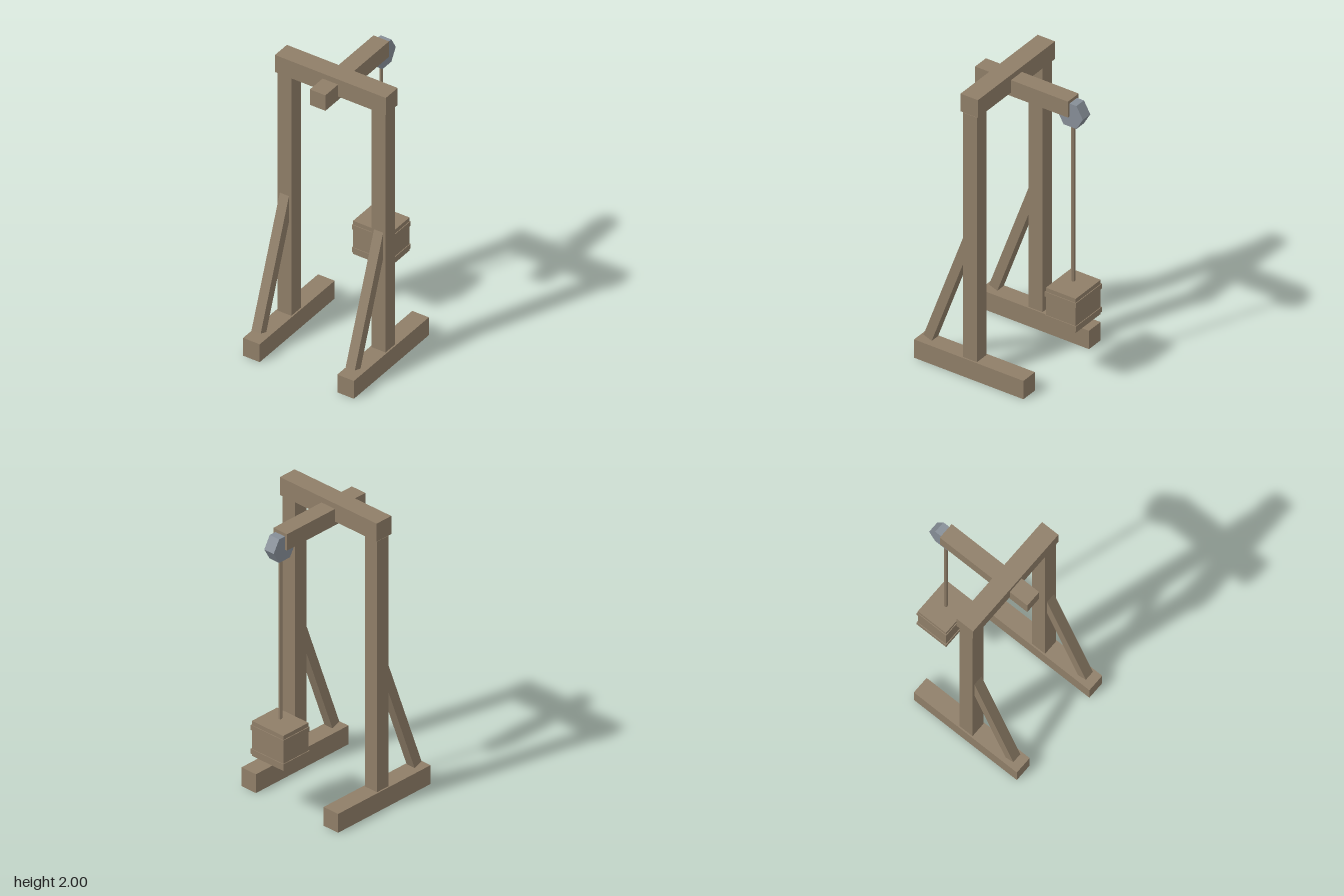
import * as THREE from 'three';

export function createModel() {
  const model = new THREE.Group();
  model.name = 'liftingCrane';
  const wood = new THREE.MeshStandardMaterial({ color: 0x8f7e68, flatShading: true });
  wood.name = 'wood';
  const iron = new THREE.MeshStandardMaterial({ color: 0x868e97, flatShading: true });
  iron.name = 'iron';

  const add = (name, geometry, material, x, y, z, parent = model) => {
    const mesh = new THREE.Mesh(geometry, material);
    mesh.name = name;
    mesh.position.set(x, y, z);
    parent.add(mesh);
    return mesh;
  };
  // Beam given by its lower and upper limits on each axis
  const beam = (name, [x0, x1], [y0, y1], [z0, z1], parent) =>
    add(name, new THREE.BoxGeometry(x1 - x0, y1 - y0, z1 - z0), wood,
      (x0 + x1) / 2, (y0 + y1) / 2, (z0 + z1) / 2, parent);

  // Side frames: foot, post and slanted brace
  for (const [side, s] of [['left', 1], ['right', -1]]) {
    const frame = new THREE.Group();
    frame.name = side + 'Frame';
    model.add(frame);
    const c = 0.34 * s;
    beam('foot', [c - 0.06, c + 0.06], [0, 0.13], [-0.3, 0.5], frame);
    beam('post', [c - 0.05, c + 0.05], [0.13, 1.865], [0.047, 0.148], frame);
    const length = 0.95, tilt = THREE.MathUtils.degToRad(20);
    const brace = add('brace', new THREE.BoxGeometry(0.066, length, 0.064), wood, c,
      0.157 + length / 2 * Math.cos(tilt), 0.42 - length / 2 * Math.sin(tilt), frame);
    brace.rotation.x = -tilt;
  }

  // Top beams
  beam('crossbeam', [-0.4, 0.4], [1.875, 2], [0.033, 0.16]);
  beam('arm', [-0.056, 0.056], [1.85, 1.963], [-0.383, 0.296]);

  // Six-sided pulley turning about x, with a corner pointing backwards
  const pulleyGeometry = new THREE.CylinderGeometry(0.094, 0.094, 0.078, 6).rotateZ(Math.PI / 2);
  add('pulley', pulleyGeometry, iron, 0, 1.86, -0.386);

  // Rope, ending just above the crate
  const ropeGeometry = new THREE.CylinderGeometry(0.0125, 0.0125, 1.195, 6).rotateY(Math.PI / 6);
  add('rope', ropeGeometry, wood, 0, 1.2625, -0.382);

  // Hanging crate with two raised bands
  const crate = new THREE.Group();
  crate.name = 'crate';
  model.add(crate);
  beam('crateBody', [-0.13, 0.13], [0.4, 0.642], [-0.492, -0.274], crate);
  for (const y of [0.432, 0.597])
    beam('crateBand', [-0.135, 0.135], [y - 0.017, y + 0.017], [-0.497, -0.269], crate);

  return model;
}
